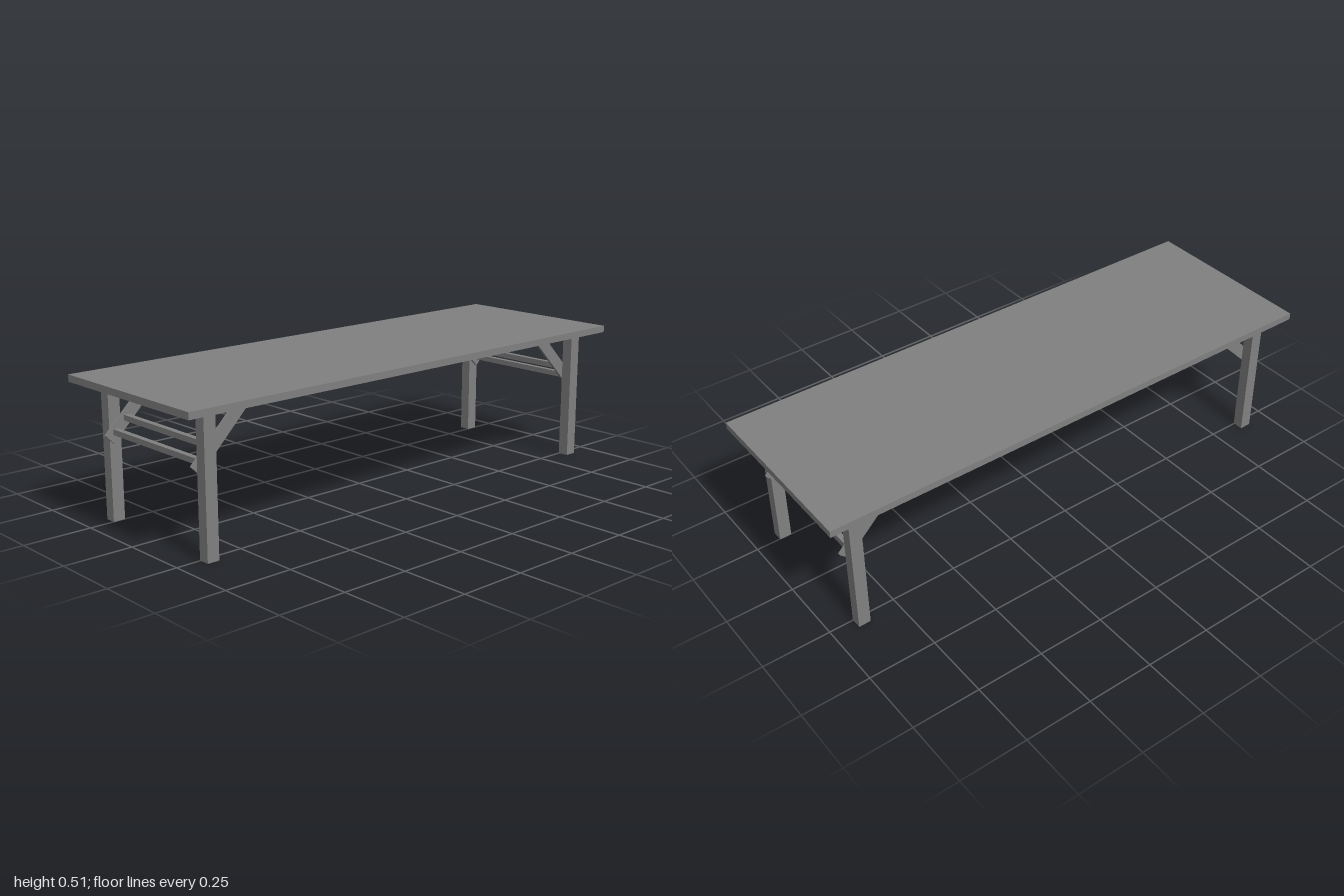
import * as THREE from 'three';

export function createModel() {
  const model = new THREE.Group();
  model.name = 'foldingTable';
  const grey = new THREE.MeshStandardMaterial({ color: 0x808080 });
  grey.name = 'grey';

  const add = (parent, name, geometry, x = 0, y = 0, z = 0) => {
    const mesh = new THREE.Mesh(geometry, grey);
    mesh.name = name;
    mesh.position.set(x, y, z);
    parent.add(mesh);
  };

  // Table top
  const topBottom = 0.49, topHeight = 0.025;
  add(model, 'tableTop', new THREE.BoxGeometry(0.68, topHeight, 2), 0, topBottom + topHeight / 2, 0);

  // Diagonal brace outline: x is distance along the table, y is height
  const braceShape = new THREE.Shape([
    new THREE.Vector2(0.898, 0.277),
    new THREE.Vector2(0.93, 0.309),
    new THREE.Vector2(0.749, topBottom),
    new THREE.Vector2(0.685, topBottom),
  ]);
  const braceGeometry = new THREE.ExtrudeGeometry(braceShape, { depth: 0.01, bevelEnabled: false });
  braceGeometry.translate(0, 0, -0.005).rotateY(-Math.PI / 2);

  const legGeometry = new THREE.BoxGeometry(0.041, topBottom, 0.045);
  const railGeometry = new THREE.BoxGeometry(0.476, 0.02, 0.02);

  // One folding leg frame at each end
  for (const end of ['front', 'back']) {
    const frame = new THREE.Group();
    frame.name = `${end}LegFrame`;
    if (end === 'back') frame.rotation.y = Math.PI;
    for (const side of [-1, 1]) {
      add(frame, 'leg', legGeometry, side * 0.2685, topBottom / 2, 0.887);
      add(frame, 'brace', braceGeometry, side * 0.243, 0, 0);
    }
    // Cross rails lie along the slope of the braces
    add(frame, 'upperRail', railGeometry, 0, 0.361, 0.847);
    add(frame, 'lowerRail', railGeometry, 0, 0.318, 0.89);
    model.add(frame);
  }
  return model;
}
